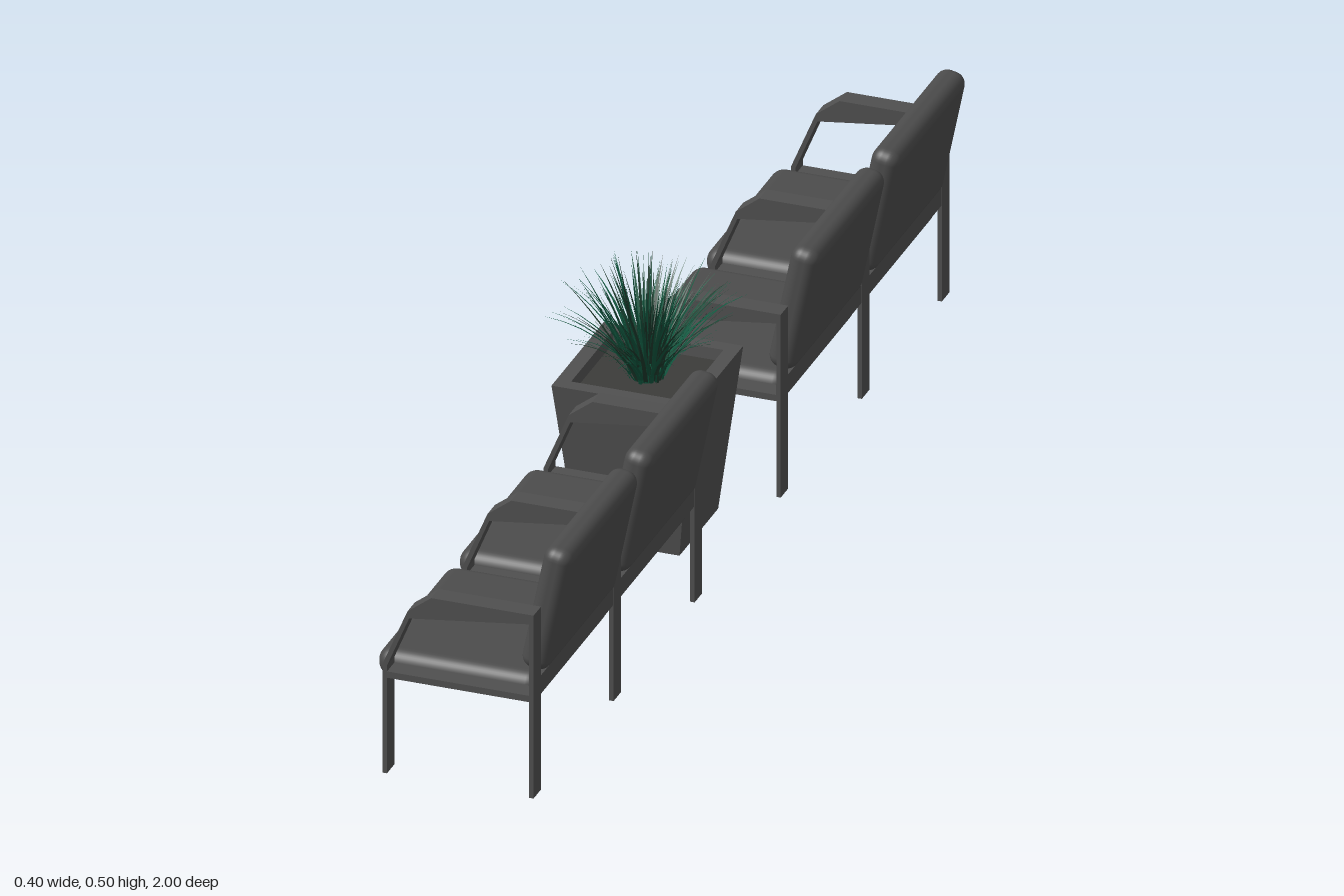
import * as THREE from 'three';
import { RoundedBoxGeometry } from 'three/addons/geometries/RoundedBoxGeometry.js';

const mat = (name, color, side = THREE.FrontSide) => {
  const m = new THREE.MeshStandardMaterial({ color, side });
  m.name = name;
  return m;
};

function add(parent, name, geometry, material, x = 0, y = 0, z = 0) {
  const mesh = new THREE.Mesh(geometry, material);
  mesh.name = name;
  mesh.position.set(x, y, z);
  parent.add(mesh);
  return mesh;
}

// Arching blades of grass, each a tapered ribbon leaning outward
function grassGeometry(count, seed) {
  let s = seed;
  const rand = () => (s = (s * 16807) % 2147483647) / 2147483647;
  const pos = [], index = [], steps = 6;
  for (let i = 0; i < count; i++) {
    const angle = rand() * Math.PI * 2;
    const dx = Math.cos(angle), dz = Math.sin(angle);
    const lean = 0.05 + 0.6 * rand();
    const bend = (0.2 + 0.8 * rand()) * (0.3 + lean);
    const length = 0.15 + 0.07 * rand();
    const width = 0.0022 + 0.0022 * rand();
    let r = 0.03 * rand(), y = 0;
    const first = pos.length / 3;
    for (let k = 0; k <= steps; k++) {
      const t = k / steps;
      const w = width * (1 - t ** 1.5) + 0.0001;
      pos.push(dx * r - dz * w, y, dz * r + dx * w);
      pos.push(dx * r + dz * w, y, dz * r - dx * w);
      const a = lean + bend * t;
      r += Math.sin(a) * length / steps;
      y += Math.cos(a) * length / steps;
      if (k < steps) {
        const b = first + 2 * k;
        index.push(b, b + 1, b + 2, b + 1, b + 3, b + 2);
      }
    }
  }
  const g = new THREE.BufferGeometry();
  g.setAttribute('position', new THREE.Float32BufferAttribute(pos, 3));
  g.setIndex(index);
  g.computeVertexNormals();
  return g;
}

export function createModel() {
  const model = new THREE.Group();
  model.name = 'waitingRoomSeating';
  const frameMat = mat('frame charcoal', 0x4f4f4f);
  const cushionMat = mat('cushion charcoal', 0x4c4c4c);
  const potMat = mat('planter charcoal', 0x505050);
  const soilMat = mat('soil', 0x3c3c3a);
  const leafMat = mat('leaf green', 0x0f553d, THREE.DoubleSide);
  const darkLeafMat = mat('dark leaf green', 0x1c3a2c, THREE.DoubleSide);

  // Leg and armrest hoop: flat bar outline, widened along z
  const W = 0.036;
  const hoop = new THREE.Shape([
    [-0.108, 0], [-0.1, 0], [-0.1, 0.205], [-0.06, 0.302], [0.157, 0.33], [0.157, 0],
    [0.165, 0], [0.165, 0.348], [-0.02, 0.348], [-0.063, 0.315], [-0.108, 0.207],
  ].map(([x, y]) => new THREE.Vector2(x, y)));
  const hoopGeo = new THREE.ExtrudeGeometry(hoop, { depth: W, bevelEnabled: false });
  hoopGeo.translate(0, 0, -W / 2);
  const sideBarGeo = new THREE.BoxGeometry(0.258, 0.012, W);
  const railGeo = new THREE.BoxGeometry(0.008, 0.034, 0.81);

  // Cushions
  const seatGeo = new RoundedBoxGeometry(0.295, 0.054, 0.35, 4, 0.025);
  const backGeo = new RoundedBoxGeometry(0.052, 0.24, 0.345, 4, 0.022);

  // Two double benches, one on each side of the planter
  for (const side of [-1, 1]) {
    const bench = new THREE.Group();
    bench.name = side > 0 ? 'frontBench' : 'rearBench';
    model.add(bench);
    for (const z of [0.207, 0.597, 0.982]) {
      add(bench, 'armrestFrame', hoopGeo, frameMat, 0, 0, side * z);
      add(bench, 'sideBar', sideBarGeo, frameMat, 0.029, 0.188, side * z);
    }
    add(bench, 'backRail', railGeo, frameMat, 0.16, 0.199, side * 0.594);
    for (const z of [0.4, 0.788]) {
      add(bench, 'seat', seatGeo, cushionMat, 0.012, 0.184, side * z);
      add(bench, 'backrest', backGeo, cushionMat, 0.169, 0.336, side * z).rotation.z = -0.2;
    }
  }

  // Square tapered planter with a recessed rim
  const planter = new THREE.Group();
  planter.name = 'planter';
  planter.position.set(-0.004, 0, 0.003);
  model.add(planter);
  const profile = [[0, 0.013], [0.093, 0.013], [0.126, 0.313], [0.1, 0.313], [0.097, 0.285]]
    .map(([r, y]) => new THREE.Vector2(r * Math.SQRT2, y));
  const potGeo = new THREE.LatheGeometry(profile, 4, Math.PI / 4).toNonIndexed();
  potGeo.computeVertexNormals();
  add(planter, 'pot', potGeo, potMat);
  add(planter, 'soil', new THREE.BoxGeometry(0.196, 0.008, 0.196), soilMat, 0, 0.288, 0);

  // Grass tuft
  add(planter, 'grass', grassGeometry(170, 7), leafMat, 0, 0.288, 0);
  add(planter, 'darkGrass', grassGeometry(90, 4211), darkLeafMat, 0, 0.288, 0);

  return model;
}
